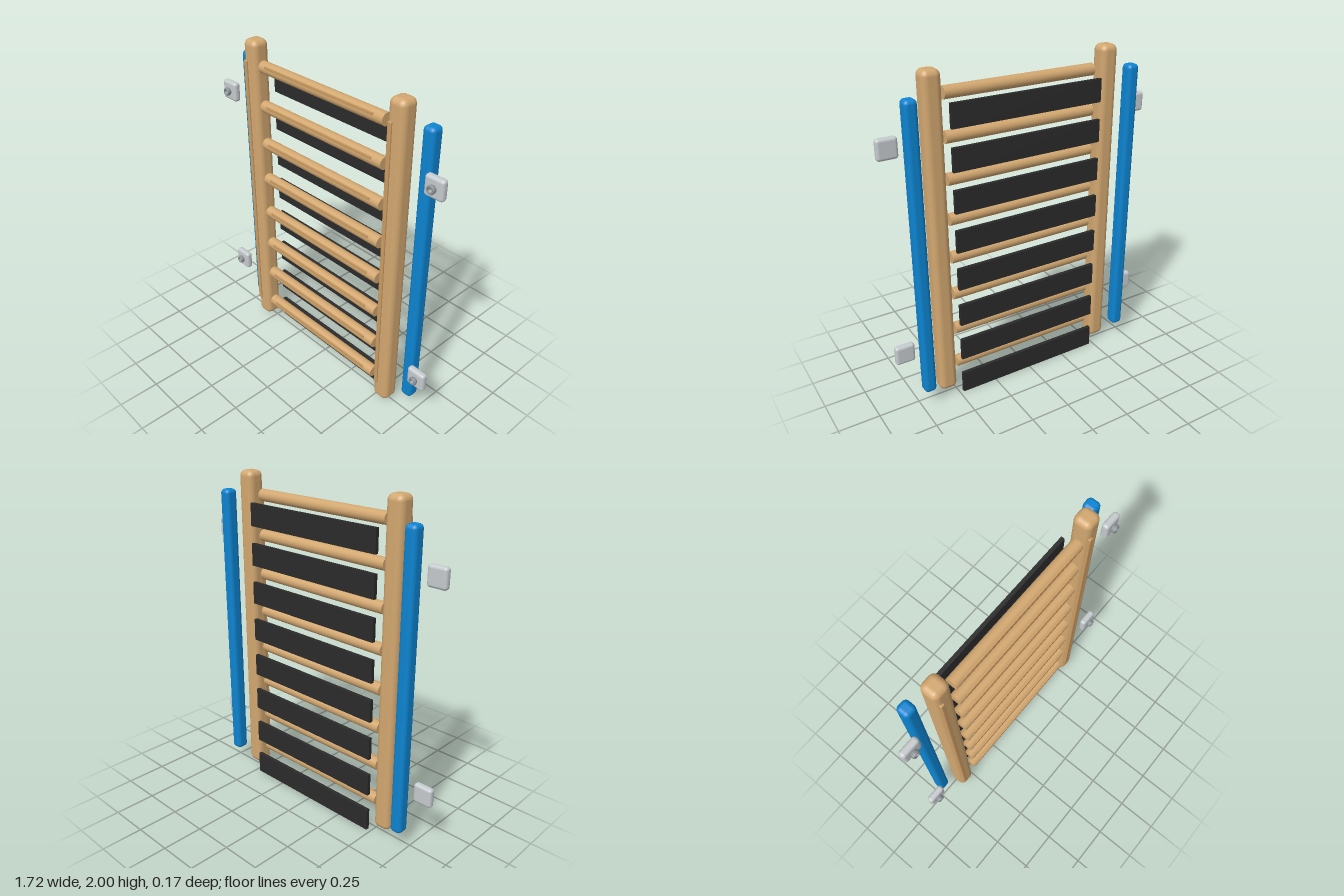
import * as THREE from 'three';
import { RoundedBoxGeometry } from 'three/addons/geometries/RoundedBoxGeometry.js';

const material = (name, color) => {
  const m = new THREE.MeshStandardMaterial({ color });
  m.name = name;
  return m;
};

export function createModel() {
  const model = new THREE.Group();
  model.name = 'explodedWallBars';

  const wood = material('wood', 0xd2a770);
  const grainWood = material('grain wood', 0xcb9c63);
  const blue = material('blue padding', 0x0d84d0);
  const black = material('black board', 0x2b2b2b);
  const metal = material('light metal', 0xc5cacd);
  const boltMetal = material('bolt metal', 0x8f9599);

  const add = (name, geometry, mat, x, y, z) => {
    const mesh = new THREE.Mesh(geometry, mat);
    mesh.name = name;
    mesh.position.set(x, y, z);
    model.add(mesh);
    return mesh;
  };

  const postGeo = new RoundedBoxGeometry(0.11, 1.97, 0.11, 4, 0.036);
  const postGrainGeo = new RoundedBoxGeometry(0.026, 1.73, 0.02, 2, 0.006);
  const padGeo = new RoundedBoxGeometry(0.075, 1.78, 0.08, 4, 0.025);
  const plateGeo = new RoundedBoxGeometry(0.12, 0.12, 0.044, 4, 0.018);

  // Bolt head with a recessed socket, turned to face forward
  const boltGeo = new THREE.LatheGeometry([
    [0, 0.012], [0.013, 0.012], [0.013, 0.027], [0.02, 0.03], [0.025, 0.024], [0.025, 0.016], [0.02, 0],
  ].reverse().map(([r, h]) => new THREE.Vector2(r, h)), 20);
  boltGeo.rotateX(Math.PI / 2);

  for (const side of [-1, 1]) {
    const s = side < 0 ? 'right' : 'left';
    // Side posts with a raised grain strip, and the padding strips beside them
    add(s + 'Post', postGeo, wood, side * 0.555, 1.015, 0.018);
    add(s + 'PostGrain', postGrainGeo, grainWood, side * 0.555 - 0.026, 1.015, 0.073);
    add(s + 'Padding', padGeo, blue, side * 0.695, 0.99, -0.044);

    // Wall mounting plates and their bolts
    for (const y of [0.354, 1.618]) {
      add(s + 'WallPlate', plateGeo, metal, side * 0.801, y, 0.032);
      add(s + 'Bolt', boltGeo, boltMetal, side * 0.801, y, 0.05);
    }
  }

  // Eight rungs, each with a grain strip and a backing board behind and below
  const rungGeo = new THREE.CylinderGeometry(0.036, 0.036, 0.95, 24);
  rungGeo.rotateZ(Math.PI / 2);
  const rungGrainGeo = new THREE.BoxGeometry(0.83, 0.016, 0.01);
  const boardGeo = new THREE.BoxGeometry(0.95, 0.137, 0.022);
  for (let i = 0; i < 8; i++) {
    const y = i * 0.2411;
    add('rung', rungGeo, wood, 0, y + 0.171, 0.036);
    add('rungGrain', rungGrainGeo, grainWood, -0.005, y + 0.186, 0.067);
    add('backingBoard', boardGeo, black, 0, y + 0.0685, -0.052);
  }

  return model;
}
